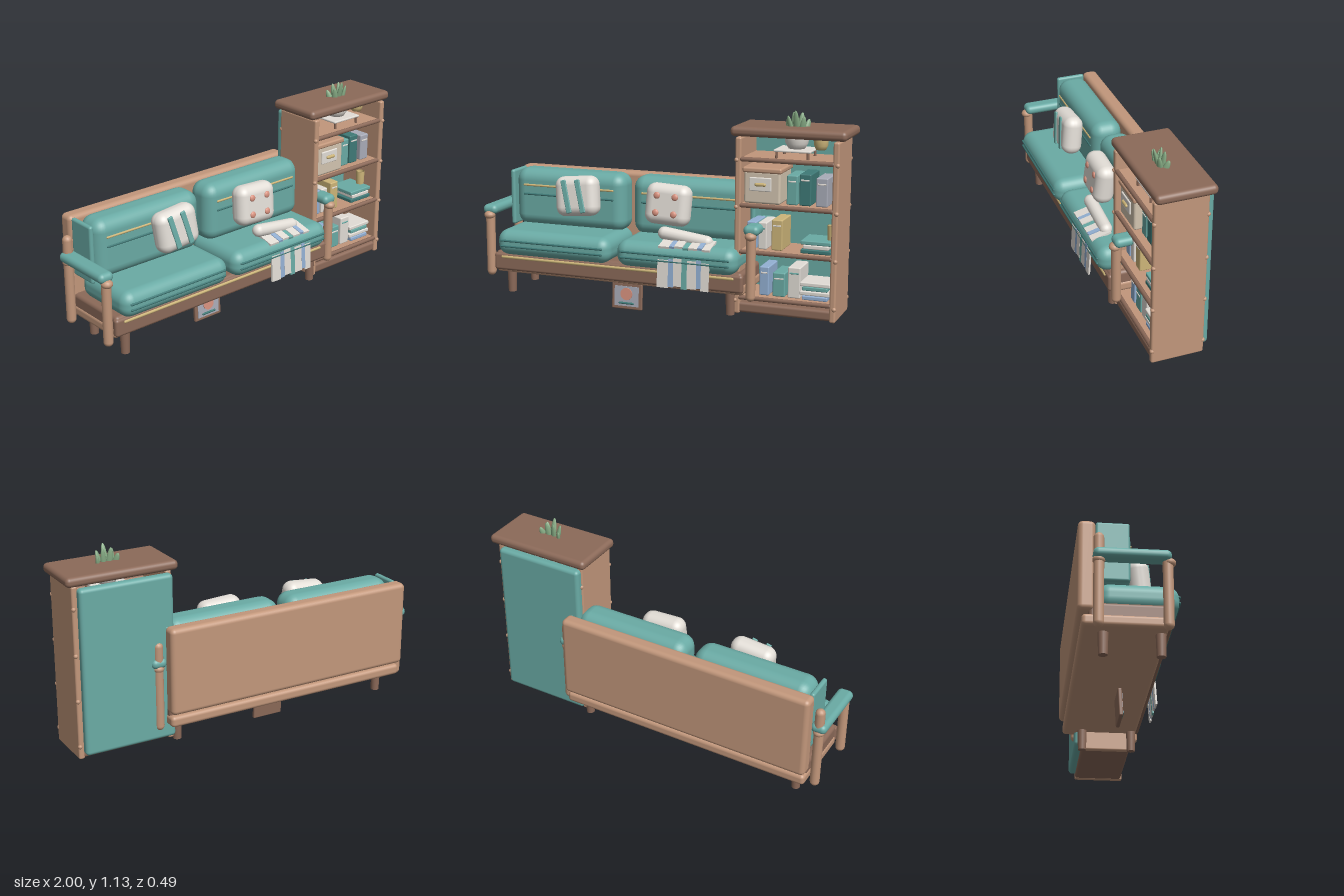
import * as THREE from 'three';
import { RoundedBoxGeometry } from 'three/addons/geometries/RoundedBoxGeometry.js';

const mat = (color) => new THREE.MeshStandardMaterial({ color });
const WOOD = mat(0xc2977b), DARK = mat(0x8c6a59), TEAL = mat(0x6aaba5), DEEP = mat(0x3f7a77);
const GOLD = mat(0xcdb579), WHITE = mat(0xe2ddd6), BLUE = mat(0x93b0d3), PINK = mat(0xd8927f);
const LEAF = mat(0x86ab84), LILAC = mat(0xa9acb8), CREAM = mat(0xd3c5b0);

function add(parent, name, geo, material, x, y, z, rx = 0, ry = 0, rz = 0) {
  const m = new THREE.Mesh(geo, material);
  m.name = name;
  m.position.set(x, y, z);
  m.rotation.set(rx, ry, rz);
  parent.add(m);
  return m;
}
// rounded box given by its limits
function box(parent, name, material, x0, x1, y0, y1, z0, z1, r = 0.01) {
  const w = x1 - x0, h = y1 - y0, d = z1 - z0;
  const geo = new RoundedBoxGeometry(w, h, d, 4, Math.min(r, w * 0.49, h * 0.49, d * 0.49));
  return add(parent, name, geo, material, (x0 + x1) / 2, (y0 + y1) / 2, (z0 + z1) / 2);
}
// round bar along x
function bar(parent, name, material, x0, x1, y, z, r) {
  const geo = new THREE.CapsuleGeometry(r, x1 - x0 - 2 * r, 4, 10);
  return add(parent, name, geo, material, (x0 + x1) / 2, y, z, 0, 0, Math.PI / 2);
}
function group(parent, name) {
  const g = new THREE.Group();
  g.name = name;
  parent.add(g);
  return g;
}

const MID = -0.213; // centre line of the sofa

function buildSofa(root) {
  const sofa = group(root, 'sofa');
  box(sofa, 'baseFrame', DARK, -0.92, 0.49, 0.205, 0.31, -0.19, 0.19, 0.02);
  box(sofa, 'lowerRail', WOOD, -0.925, 0.495, 0.19, 0.25, -0.222, 0.18, 0.02);
  box(sofa, 'frontRail', DARK, -0.925, 0.495, 0.205, 0.3, 0.16, 0.198, 0.015);
  bar(sofa, 'frontTrim', GOLD, -0.88, 0.45, 0.28, 0.197, 0.008);
  box(sofa, 'backPanel', WOOD, -0.93, 0.5, 0.265, 0.73, -0.243, -0.16, 0.025);

  for (const s of [-1, 1]) {
    // cushions with piping
    const c = MID + s * 0.35, w = 0.332;
    box(sofa, 'seatCushion', TEAL, c - w, c + w, 0.295, 0.435, -0.15, 0.237, 0.06);
    box(sofa, 'backCushion', TEAL, c - w + 0.005, c + w - 0.005, 0.42, 0.738, -0.16, 0.012, 0.065);
    for (const y of [0.6, 0.65]) bar(sofa, 'backPiping', y > 0.62 ? GOLD : DEEP, c - 0.27, c + 0.27, y, 0.012, 0.006);
    for (const y of [0.35, 0.38]) bar(sofa, 'seatPiping', DEEP, c - 0.3, c + 0.3, y, 0.236, 0.006);
    const sx = MID + s * 0.695;
    box(sofa, 'sidePad', TEAL, sx - 0.013, sx + 0.013, 0.42, 0.725, -0.16, 0, 0.012);

    // legs
    for (const z of [0.148, -0.118])
      add(sofa, 'leg', new THREE.CylinderGeometry(0.026, 0.022, 0.13, 16), DARK, MID + s * 0.63, 0.145, z);

    // armrest on two posts
    const arm = group(sofa, 'armrest');
    const ax = MID + s * 0.743;
    const post = (z, y0, y1) => add(arm, 'armPost',
      new THREE.CapsuleGeometry(0.025, y1 - y0 - 0.05, 5, 16), WOOD, ax, (y0 + y1) / 2, z);
    post(-0.148, 0.165, 0.645);
    post(0.17, 0.165, 0.53);
    box(arm, 'armPad', TEAL, ax - 0.042, ax + 0.042, 0.506, 0.558, -0.175, 0.187, 0.025);
    for (const z of [0.178, -0.148])
      add(arm, 'postCollar', new THREE.SphereGeometry(0.03, 16, 10), WOOD, ax, 0.503, z).scale.y = 0.75;
  }
}

function buildPillows(root) {
  const make = (name, x, y, rz) => {
    const g = group(root, name);
    g.position.set(x, y, 0.085);
    g.rotation.set(-0.12, 0, rz);
    add(g, 'pillowBody', new RoundedBoxGeometry(0.245, 0.215, 0.11, 5, 0.05), WHITE, 0, 0, 0);
    return g;
  };
  const striped = make('stripedPillow', -0.468, 0.625, 0.09);
  for (const x of [-0.045, 0.035])
    add(striped, 'pillowStripe', new RoundedBoxGeometry(0.03, 0.18, 0.012, 2, 0.005), TEAL, x, 0, 0.055, 0, 0, 0.16);
  const buttoned = make('buttonedPillow', 0.053, 0.617, -0.05);
  for (const x of [-0.05, 0.05]) for (const y of [-0.045, 0.045])
    add(buttoned, 'pillowButton', new THREE.SphereGeometry(0.018, 14, 10), PINK, x, y, 0.055).scale.z = 0.5;
}

function buildThrow(root) {
  const t = group(root, 'throwBlanket');
  add(t, 'throwRoll', new THREE.CapsuleGeometry(0.034, 0.235, 6, 16), WHITE, 0.165, 0.46, 0.135, 0, 0, Math.PI / 2 - 0.13);
  // alternating strips on the seat and over its front
  const widths = [0.06, 0.028, 0.045, 0.03, 0.05, 0.025, 0.042];
  let x = 0.05;
  widths.forEach((w, i) => {
    const m = i % 2 ? (i === 3 ? TEAL : BLUE) : WHITE, cx = x + w / 2, j = (i % 3 - 1) * 0.006;
    add(t, 'throwTop', new THREE.BoxGeometry(w, 0.012, 0.11), m, cx, 0.437 + j * 0.5, 0.175, 0.25);
    add(t, 'throwDrop', new THREE.BoxGeometry(w, 0.145, 0.01), m, cx, 0.292 + j, 0.239, -0.06, 0, j * 3);
    x += w;
  });
}

function buildPicture(root) {
  const p = group(root, 'framedPicture');
  p.position.set(MID, 0.08, 0.018);
  p.rotation.x = -0.05;
  add(p, 'pictureFrame', new RoundedBoxGeometry(0.175, 0.145, 0.02, 3, 0.006), DARK, 0, 0, 0);
  add(p, 'pictureSheet', new THREE.BoxGeometry(0.14, 0.11, 0.006), LILAC, 0, 0, 0.01);
  add(p, 'pictureDisc', new THREE.CylinderGeometry(0.034, 0.034, 0.008, 24), PINK, 0, 0.013, 0.014, Math.PI / 2);
  bar(p, 'pictureLine', DEEP, -0.045, 0.045, -0.038, 0.015, 0.006);
}

function buildBookcase(root) {
  const b = group(root, 'bookcase');
  box(b, 'bookcaseTop', DARK, 0.405, 1.0, 1.003, 1.053, -0.15, 0.156, 0.022);
  box(b, 'backBoard', TEAL, 0.44, 0.94, 0.115, 0.99, -0.158, -0.105, 0.02);
  for (const x of [0.45, 0.95]) {
    box(b, 'sidePanel', WOOD, x - 0.016, x + 0.016, 0.09, 1.0, -0.122, 0.152, 0.01);
    for (const y of [0.16, 0.405, 0.645, 0.885]) for (const z of [0.147, -0.118])
      add(b, 'peg', new THREE.SphereGeometry(0.012, 12, 8), WOOD, x + (x > 0.7 ? 0.008 : -0.008), y, z);
  }
  box(b, 'plinth', DARK, 0.44, 0.96, 0.095, 0.15, -0.12, 0.145, 0.015);
  for (const y of [0.175, 0.415, 0.655, 0.89]) {
    box(b, 'shelf', WOOD, 0.46, 0.94, y - 0.012, y + 0.008, -0.12, 0.14, 0.004);
    bar(b, 'shelfEdge', DARK, 0.455, 0.945, y, 0.142, 0.012);
  }

  // upright books: left, right, bottom, top, colour
  const books = [
    [0.69, 0.745, 0.665, 0.815, TEAL], [0.755, 0.815, 0.665, 0.825, DEEP], [0.84, 0.9, 0.665, 0.81, LILAC],
    [0.485, 0.535, 0.425, 0.565, BLUE], [0.545, 0.59, 0.425, 0.565, WHITE], [0.615, 0.672, 0.425, 0.583, GOLD],
    [0.555, 0.605, 0.185, 0.335, BLUE], [0.625, 0.69, 0.185, 0.31, TEAL], [0.705, 0.77, 0.185, 0.345, WHITE],
  ];
  for (const [x0, x1, y0, y1, m] of books) {
    box(b, 'book', m, x0, x1, y0, y1, -0.06, 0.1, 0.006);
    box(b, 'bookBand', m === WHITE ? TEAL : WHITE, x0 + 0.008, x1 - 0.008, y1 - 0.035, y1 - 0.027, 0.09, 0.103, 0.002);
  }
  // lying books
  [[0.435, DEEP], [0.458, WHITE], [0.48, TEAL], [0.195, BLUE], [0.219, WHITE], [0.243, TEAL], [0.265, WHITE]]
    .forEach(([y, m], i) => {
      const s = (i % 2) * 0.012;
      box(b, 'lyingBook', m, 0.77 + s, 0.925 - s, y - 0.01, y + 0.011, -0.05, 0.11, 0.005);
    });

  // storage box
  box(b, 'storageBox', CREAM, 0.475, 0.665, 0.665, 0.83, -0.07, 0.13, 0.012);
  box(b, 'storageLid', WOOD, 0.468, 0.673, 0.822, 0.85, -0.08, 0.138, 0.01);
  box(b, 'boxPlate', WHITE, 0.505, 0.62, 0.73, 0.8, 0.12, 0.137, 0.005);
  bar(b, 'boxHandle', GOLD, 0.535, 0.595, 0.765, 0.14, 0.009);

  // cups
  const cup = (x, y, z, r, h, m, name) => {
    const pts = [[0.01, 0], [0.65, 0], [0.9, 0.35], [1, 1], [0.85, 1], [0.75, 0.4], [0.01, 0.2]]
      .map(([a, c]) => new THREE.Vector2(a * r, c * h));
    const material = m.clone();
    material.side = THREE.DoubleSide;
    add(b, name, new THREE.LatheGeometry(pts, 24), material, x, y, z);
  };
  cup(0.848, 0.945, 0.05, 0.038, 0.058, GOLD, 'smallCup');
  cup(0.912, 0.425, 0.04, 0.024, 0.14, GOLD, 'vase');

  // stand, pot and plant that reaches above the top
  const px = 0.717, pz = 0.025;
  box(b, 'plantTray', WHITE, 0.62, 0.81, 0.93, 0.942, -0.05, 0.11, 0.005);
  for (const x of [0.635, 0.795]) for (const z of [-0.04, 0.1])
    add(b, 'trayFoot', new THREE.CylinderGeometry(0.007, 0.007, 0.04, 10), DARK, x, 0.915, z);
  cup(px, 0.942, pz, 0.064, 0.075, WHITE, 'plantPot');
  for (let i = 0; i < 7; i++) {
    const k = (i - 3) / 3, h = 0.1 - 0.035 * Math.abs(k);
    const leaf = add(b, 'leaf', new THREE.SphereGeometry(1, 12, 10), LEAF,
      px + k * 0.045, 1.035 + 0.012 * (1 - Math.abs(k)), pz + (i % 2 ? 0.012 : -0.005), i % 2 ? 0.25 : -0.1, k * 0.8, -k * 0.3);
    leaf.scale.set(0.017, h * 0.9, 0.011);
  }
}

export function createModel() {
  const root = new THREE.Group();
  root.name = 'sofaAndBookcase';
  buildSofa(root);
  buildPillows(root);
  buildThrow(root);
  buildPicture(root);
  buildBookcase(root);
  return root;
}
